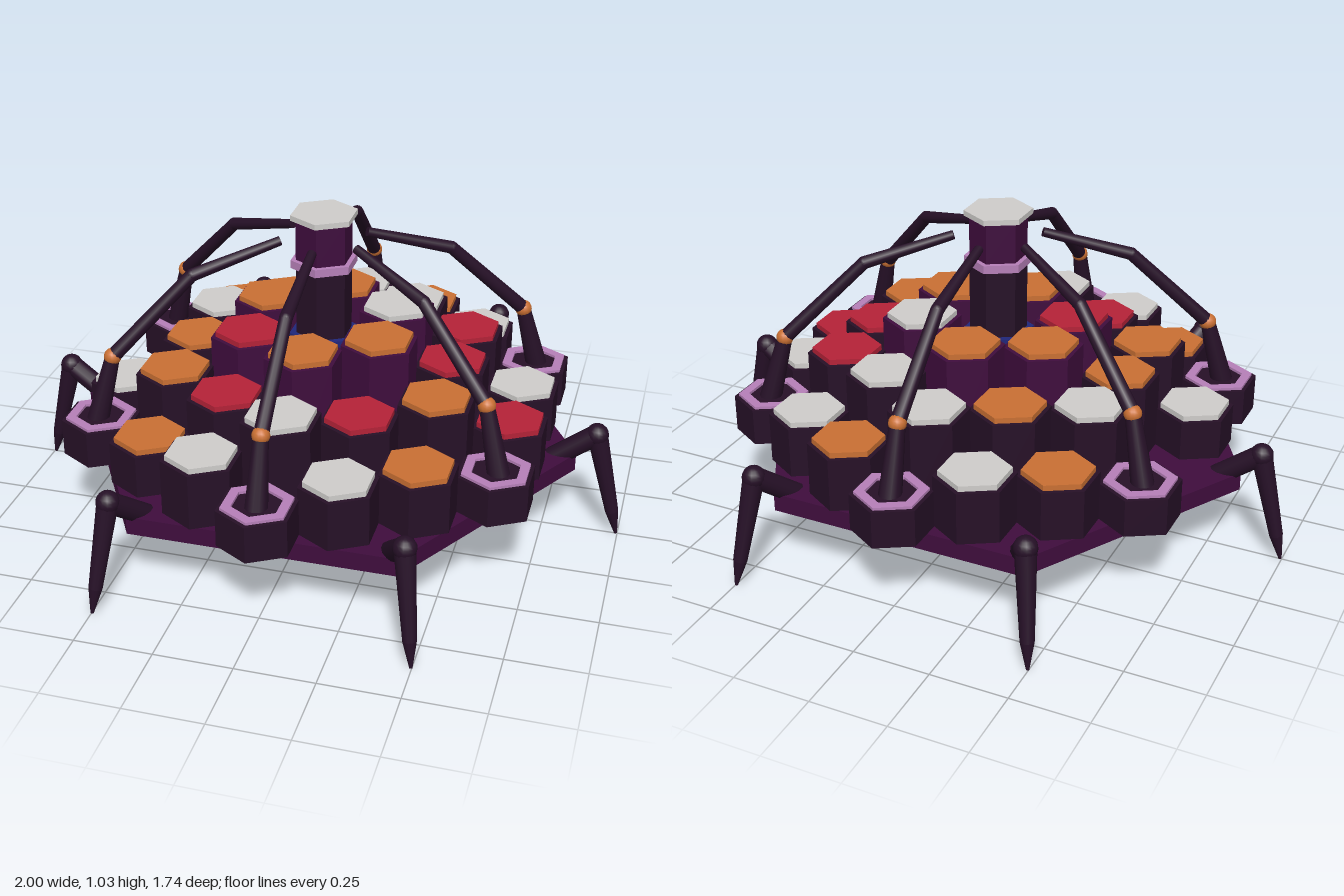
import * as THREE from 'three';

const mat = (name, color) => {
  const m = new THREE.MeshStandardMaterial({ color });
  m.name = name;
  return m;
};
const M = {
  dark: mat('darkShell', 0x261027),
  purple: mat('deepPurple', 0x3f0d3d),
  pink: mat('pinkTrim', 0xb780b9),
  blue: mat('blueCore', 0x20267a),
  w: mat('paleTile', 0xcfcdcb),
  o: mat('orangeTile', 0xca7033),
  r: mat('redTile', 0xb52238),
};

const CELL = 0.247;              // distance between neighbouring cells
const COL = CELL * Math.sqrt(3) / 2;
const CELL_R = 0.127;
const PLATE_TOP = 0.28;

function add(parent, name, geometry, material) {
  const mesh = new THREE.Mesh(geometry, material);
  mesh.name = name;
  parent.add(mesh);
  return mesh;
}

// Hexagonal prism with corners on the z axis and crisp faces
function hex(parent, name, material, r, y0, y1, x = 0, z = 0, turn = 0) {
  const g = new THREE.CylinderGeometry(r, r, y1 - y0, 6).toNonIndexed();
  g.computeVertexNormals();
  const mesh = add(parent, name, g, material);
  mesh.position.set(x, (y0 + y1) / 2, z);
  mesh.rotation.y = turn;
  return mesh;
}

// Tapered rod from a to b, given as [distance outwards, height]
function rod(parent, name, a, b, ra, rb) {
  const p = new THREE.Vector3(a[0], a[1], 0);
  const q = new THREE.Vector3(b[0], b[1], 0);
  const d = q.clone().sub(p);
  const mesh = add(parent, name, new THREE.CylinderGeometry(rb, ra, d.length(), 12), M.dark);
  mesh.position.copy(p).add(q).multiplyScalar(0.5);
  mesh.quaternion.setFromUnitVectors(new THREE.Vector3(0, 1, 0), d.normalize());
}

function ball(parent, name, at, r, material) {
  add(parent, name, new THREE.SphereGeometry(r, 14, 10), material).position.set(at[0], at[1], 0);
}

// Cells by column: [z in half cells, tile colour, tile top height]
const COLUMNS = {
  '-3': [[1, 'w', 0.43]],
  '-2': [[-4, 'o', 0.46], [-2, 'w', 0.56], [0, 'o', 0.555], [2, 'o', 0.555], [4, 'o', 0.44]],
  '-1': [[-5, 'w', 0.47], [-3, 'o', 0.57], [-1, 'o', 0.67], [1, 'r', 0.655], [3, 'r', 0.557], [5, 'w', 0.482]],
  '0': [[-4, 'w', 0.575], [-2, 'o', 0.68], [2, 'o', 0.67], [4, 'w', 0.577]],
  '1': [[-5, 'o', 0.475], [-3, 'w', 0.595], [-1, 'w', 0.685], [1, 'o', 0.683], [3, 'r', 0.54], [5, 'w', 0.46]],
  '2': [[-4, 'w', 0.465], [-2, 'r', 0.57], [0, 'r', 0.575], [2, 'o', 0.568], [4, 'o', 0.465]],
  '3': [[-1, 'w', 0.452], [1, 'r', 0.453]],
};

function buildCells() {
  const group = new THREE.Group();
  group.name = 'tiledCells';
  for (const [col, cells] of Object.entries(COLUMNS)) {
    for (const [half, tile, top] of cells) {
      const x = col * COL, z = half * CELL / 2;
      const inner = Math.hypot(x, z) < CELL * 1.2;
      hex(group, 'cellPillar', inner ? M.purple : M.dark, CELL_R, PLATE_TOP, top - 0.018, x, z);
      hex(group, 'cellTile', M[tile], 0.112, top - 0.018, top, x, z);
    }
  }
  return group;
}

function buildTower() {
  const group = new THREE.Group();
  group.name = 'tower';
  hex(group, 'towerFoot', M.purple, CELL_R, PLATE_TOP, 0.595);
  hex(group, 'blueCollar', M.blue, 0.116, 0.595, 0.62);
  hex(group, 'lowerShaft', M.dark, 0.093, 0.62, 0.85);
  hex(group, 'towerBand', M.pink, 0.11, 0.85, 0.877);
  hex(group, 'upperShaft', M.purple, 0.093, 0.877, 1.012);
  hex(group, 'towerCap', M.w, 0.11, 1.012, 1.03);
  return group;
}

// Corner socket with a pink hexagonal rim and an arm reaching to the tower
function buildArm() {
  const group = new THREE.Group();
  group.name = 'socketArm';
  const at = 3 * CELL;
  hex(group, 'socket', M.dark, CELL_R, PLATE_TOP, 0.402, at, 0, Math.PI / 2);
  const ring = (r) => Array.from({ length: 6 }, (_, i) =>
    new THREE.Vector2(r * Math.cos(i * Math.PI / 3), r * Math.sin(i * Math.PI / 3)));
  const shape = new THREE.Shape(ring(0.113));
  shape.holes.push(new THREE.Path(ring(0.08)));
  const rim = add(group, 'socketRim', new THREE.ExtrudeGeometry(shape, { depth: 0.009, bevelEnabled: false }), M.pink);
  rim.rotation.x = -Math.PI / 2;
  rim.position.set(at, 0.402, 0);

  const joint = [0.692, 0.61], elbow = [0.428, 0.862], tip = [0.142, 0.948];
  rod(group, 'armBase', [0.755, 0.38], joint, 0.037, 0.024);
  ball(group, 'armJoint', joint, 0.028, M.o);
  rod(group, 'armMiddle', joint, elbow, 0.024, 0.021);
  ball(group, 'armElbow', elbow, 0.021, M.dark);
  rod(group, 'armEnd', elbow, tip, 0.021, 0.015);
  return group;
}

// Walking leg under a corner of the base plate
function buildLeg() {
  const group = new THREE.Group();
  group.name = 'walkingLeg';
  const knee = [0.907, 0.362], ankle = [0.975, 0.085];
  rod(group, 'legThigh', [0.725, 0.222], knee, 0.034, 0.034);
  ball(group, 'legKnee', knee, 0.037, M.dark);
  rod(group, 'legShin', knee, ankle, 0.034, 0.022);
  rod(group, 'legFoot', ankle, [0.995, 0.001], 0.022, 0.005);
  return group;
}

export function createModel() {
  const model = new THREE.Group();
  model.name = 'hexWalker';
  hex(model, 'basePlate', M.purple, 0.845, 0.22, PLATE_TOP, 0, 0, Math.PI / 6);
  model.add(buildCells(), buildTower());
  for (let i = 0; i < 6; i++) {
    const leg = buildLeg();
    leg.rotation.y = i * Math.PI / 3;
    const arm = buildArm();
    arm.rotation.y = i * Math.PI / 3 + Math.PI / 6;
    model.add(leg, arm);
  }
  return model;
}
